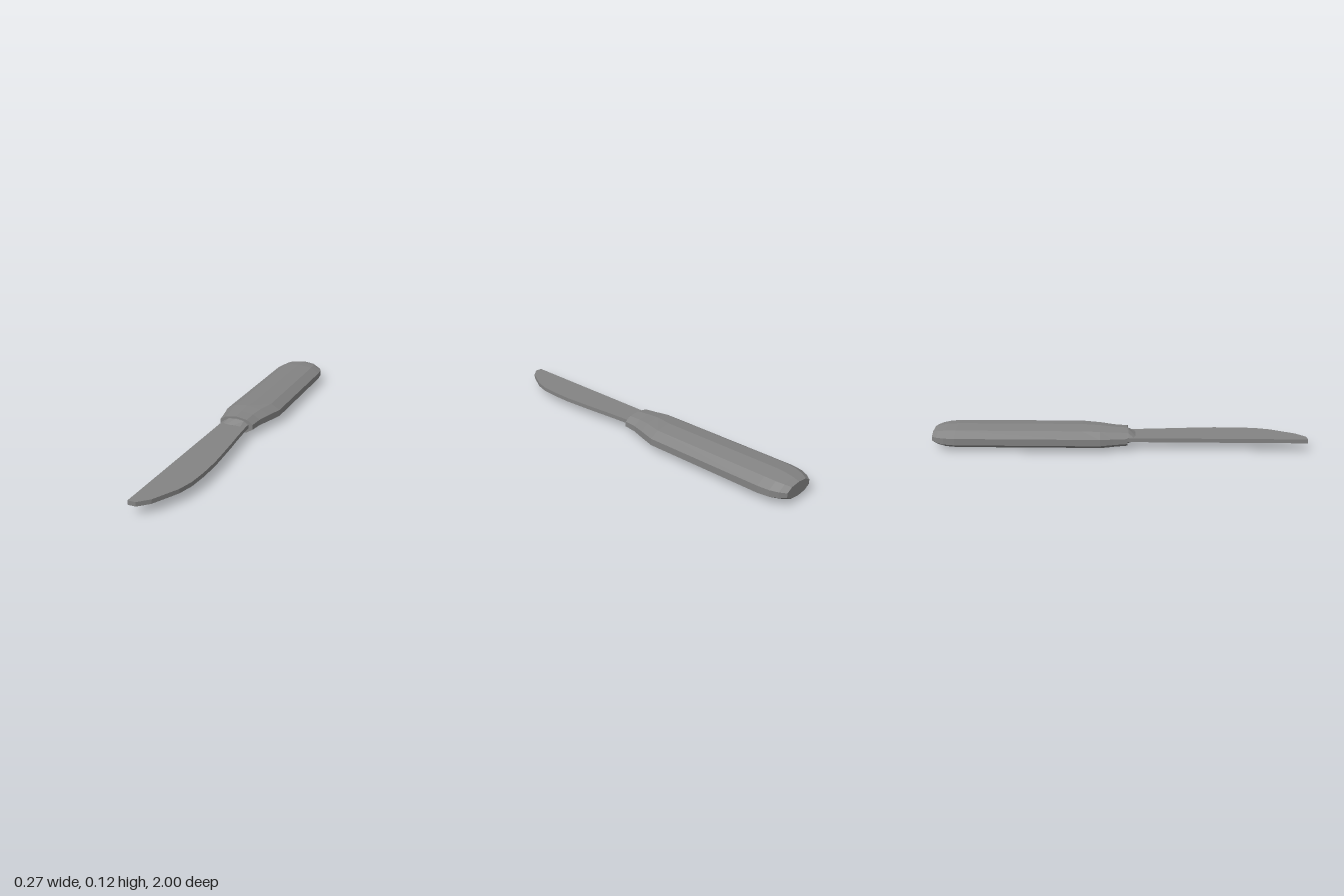
import * as THREE from 'three';

const MID_Y = 0.06;
const material = new THREE.MeshStandardMaterial({ color: 0x838383, flatShading: true });

// Ten-sided flattened cross-section, counter-clockwise, in unit half sizes
const section = [
  [1, 0.31], [0.63, 0.81], [0, 1], [-0.63, 0.81], [-1, 0.31],
  [-1, -0.31], [-0.63, -0.81], [0, -1], [0.63, -0.81], [1, -0.31],
];

// Skin the cross-section along z; each station is [z, xMin, xMax, halfHeight]
function loft(name, stations) {
  const n = section.length;
  const positions = [];
  const index = [];
  for (const [z, x0, x1, h] of stations) {
    for (const [u, v] of section) {
      positions.push((x0 + x1) / 2 + (u * (x1 - x0)) / 2, MID_Y + v * h, z);
    }
  }
  const last = (stations.length - 1) * n;
  for (let k = 0; k < last; k += n) {
    for (let i = 0; i < n; i++) {
      const j = (i + 1) % n;
      index.push(k + i, k + j, k + n + j, k + i, k + n + j, k + n + i);
    }
  }
  // End caps
  for (let i = 1; i < n - 1; i++) {
    index.push(0, i + 1, i, last, last + i, last + i + 1);
  }
  const indexed = new THREE.BufferGeometry();
  indexed.setAttribute('position', new THREE.Float32BufferAttribute(positions, 3));
  indexed.setIndex(index);
  const geometry = indexed.toNonIndexed();
  geometry.computeVertexNormals();
  const mesh = new THREE.Mesh(geometry, material);
  mesh.name = name;
  return mesh;
}

// Flat blade with a straight spine and a curved cutting edge
function makeBlade() {
  const outline = [
    [-0.09, 0], [0.052, 0], [0.055, 0.08], [0.064, 0.2], [0.074, 0.3], [0.083, 0.41],
    [0.091, 0.52], [0.091, 0.64], [0.084, 0.74], [0.064, 0.82], [0, 0.95], [-0.05, 1], [-0.09, 1],
  ].map(([x, z]) => new THREE.Vector2(x, z));
  const thickness = 0.022;
  const geometry = new THREE.ExtrudeGeometry(new THREE.Shape(outline), {
    depth: thickness, bevelEnabled: false,
  });
  geometry.rotateX(Math.PI / 2).translate(0, MID_Y + thickness / 2, 0);
  const mesh = new THREE.Mesh(geometry, material);
  mesh.name = 'blade';
  return mesh;
}

export function createModel() {
  const knife = new THREE.Group();
  knife.name = 'knife';

  // Rounded butt, straight grip, then a taper to the collar
  knife.add(loft('handle', [
    [-1, -0.088, 0.088, 0.037],
    [-0.97, -0.112, 0.112, 0.047],
    [-0.93, -0.13, 0.13, 0.054],
    [-0.87, -0.138, 0.137, 0.058],
    [-0.2, -0.138, 0.137, 0.058],
    [-0.1, -0.138, 0.108, 0.057],
    [-0.03, -0.124, 0.088, 0.05],
    [0.045, -0.112, 0.08, 0.045],
  ]));

  // Small wedge-like bolster between handle and blade
  knife.add(loft('bolster', [
    [0.03, -0.088, 0.055, 0.036],
    [0.05, -0.088, 0.055, 0.034],
    [0.088, -0.086, 0.052, 0.012],
  ]));

  knife.add(makeBlade());
  return knife;
}
